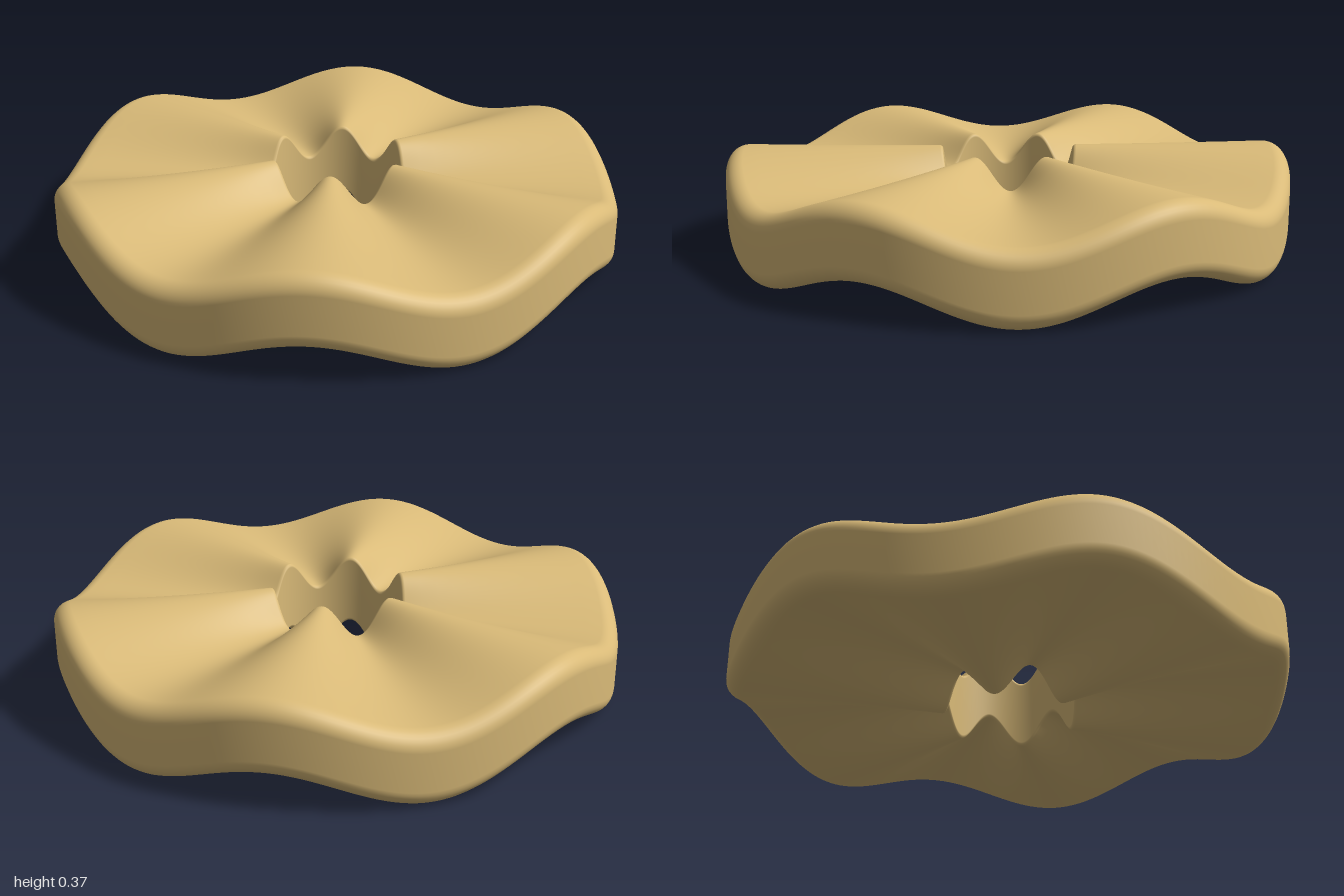
import * as THREE from 'three';
import { mergeVertices } from 'three/addons/utils/BufferGeometryUtils.js';

const INNER = 0.233, OUTER = 1, HALF = 0.127; // ring radii and half thickness
const MID = 0.183, WAVE = 0.056, WAVES = 6;   // mid height and ripple

// Closed cross-section: rounded rim outside, nearly sharp edge at the hole
function ringProfile() {
  const pts = [];
  const corner = (cx, cy, r, start, steps) => {
    for (let i = 0; i <= steps; i++) {
      const a = start + (i / steps) * Math.PI / 2;
      pts.push(new THREE.Vector2(cx + r * Math.cos(a), cy + r * Math.sin(a)));
    }
  };
  const face = (from, to, y) => {
    for (let i = 1; i < 12; i++) pts.push(new THREE.Vector2(from + (to - from) * i / 12, y));
  };
  const R = 0.06, r = 0.012;
  corner(OUTER - R, -HALF + R, R, -Math.PI / 2, 8);
  corner(OUTER - R, HALF - R, R, 0, 8);
  face(OUTER - R, INNER + r, HALF);
  corner(INNER + r, HALF - r, r, Math.PI / 2, 3);
  corner(INNER + r, -HALF + r, r, Math.PI, 3);
  face(INNER + r, OUTER - R, -HALF);
  pts.push(pts[0].clone());
  return pts;
}

export function createModel() {
  const group = new THREE.Group();
  group.name = 'waveWasher';
  const brass = new THREE.MeshStandardMaterial({ color: 0xd9ba78 });
  brass.name = 'brass';

  // Turn the section into a ring, then ripple it up and down around the axis
  let geo = new THREE.LatheGeometry(ringProfile(), 240);
  const p = geo.attributes.position;
  for (let i = 0; i < p.count; i++) {
    const t = Math.atan2(p.getX(i), p.getZ(i));
    p.setY(i, MID + p.getY(i) - WAVE * Math.sin(WAVES * t));
  }
  geo.deleteAttribute('normal');
  geo.deleteAttribute('uv');
  geo = mergeVertices(geo, 1e-5);
  geo.computeVertexNormals();

  const ring = new THREE.Mesh(geo, brass);
  ring.name = 'wavyRing';
  group.add(ring);
  return group;
}
